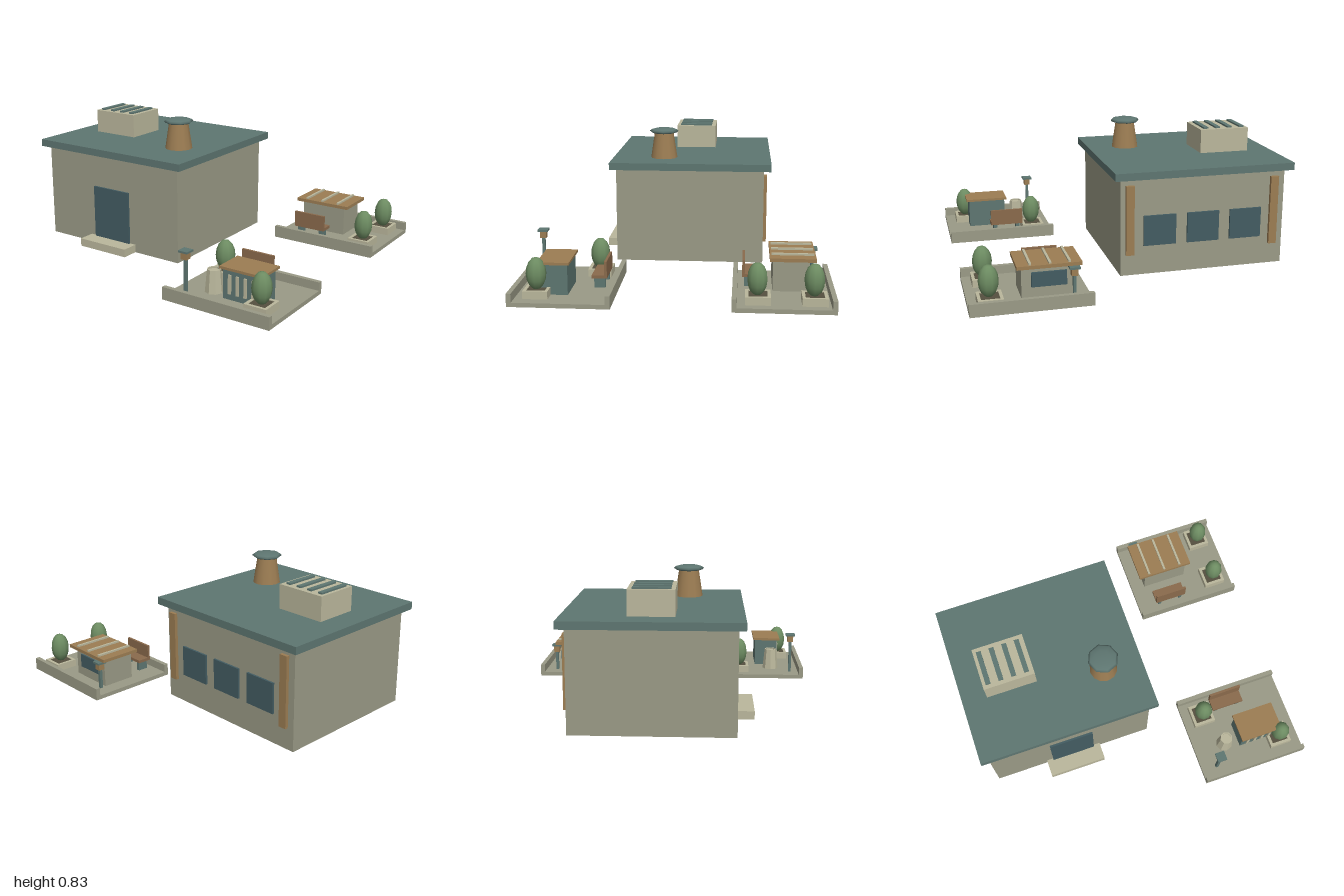
import * as THREE from 'three';

const mat = (color) => new THREE.MeshStandardMaterial({ color });
const M = {
  wall: mat(0x9a9a86), roof: mat(0x5e7671), glass: mat(0x435c62), stone: mat(0xbab79c),
  wood: mat(0x9c7d53), benchWood: mat(0x8a6a4c), soil: mat(0x55503f), leaf: mat(0x6d8c62),
};

function add(parent, name, geometry, material, x, y, z) {
  const mesh = new THREE.Mesh(geometry, material);
  mesh.name = name;
  mesh.position.set(x, y, z);
  parent.add(mesh);
  return mesh;
}

// Box given by its extents on each axis
function box(parent, name, material, [x0, x1], [y0, y1], [z0, z1]) {
  return add(parent, name, new THREE.BoxGeometry(x1 - x0, y1 - y0, z1 - z0), material,
    (x0 + x1) / 2, (y0 + y1) / 2, (z0 + z1) / 2);
}

function group(parent, name, x = 0, z = 0) {
  const g = new THREE.Group();
  g.name = name;
  g.position.set(x, 0, z);
  parent.add(g);
  return g;
}

// Square planter with soil and an egg-shaped shrub
function planter(parent, x, z) {
  const g = group(parent, 'planter', x, z);
  const h = 0.07, t = 0.018;
  for (const s of [-1, 1]) {
    const side = s < 0 ? [-h, -h + t] : [h - t, h];
    box(g, 'planterSide', M.stone, side, [0.02, 0.07], [-h, h]);
    box(g, 'planterEnd', M.stone, [-h + t, h - t], [0.02, 0.07], side);
  }
  box(g, 'soil', M.soil, [-h + t, h - t], [0.02, 0.066], [-h + t, h - t]);
  add(g, 'shrub', new THREE.SphereGeometry(0.057, 10, 8), M.leaf, 0.004, 0.155, 0.004).scale.y = 1.63;
}

// Bench with its backrest on the side given by dir
function bench(parent, x, z, dir) {
  const g = group(parent, 'bench', x, z);
  box(g, 'seat', M.benchWood, [-0.105, 0.105], [0.085, 0.103], [-0.044, 0.044]);
  add(g, 'backrest', new THREE.BoxGeometry(0.21, 0.085, 0.015), M.benchWood, 0, 0.143, dir * 0.037);
  for (const s of [-1, 1])
    add(g, 'benchLeg', new THREE.BoxGeometry(0.022, 0.062, 0.064), M.roof, s * 0.075, 0.055, 0);
}

// Lamp post of a given height
function lamp(parent, x, z, top) {
  const g = group(parent, 'lampPost', x, z);
  box(g, 'post', M.roof, [-0.009, 0.009], [0.02, top - 0.05], [-0.009, 0.009]);
  box(g, 'lampHead', M.wood, [-0.019, 0.019], [top - 0.053, top - 0.012], [-0.019, 0.019]);
  box(g, 'lampCap', M.roof, [-0.03, 0.03], [top - 0.012, top], [-0.03, 0.03]);
}

// Paved slab with a low wall along its front and back
function plaza(parent, name, z0, z1) {
  const g = group(parent, name);
  const xs = [0.315, 0.998], t = 0.027;
  box(g, 'slab', M.wall, xs, [0, 0.025], [z0, z1]);
  box(g, 'backCurb', M.wall, xs, [0, 0.075], [z0, z0 + t]);
  box(g, 'frontCurb', M.wall, xs, [0, 0.075], [z1 - t, z1]);
  return g;
}

function building(root) {
  const g = group(root, 'building');
  box(g, 'walls', M.wall, [-0.957, 0.07], [0, 0.6], [-0.512, 0.418]);
  box(g, 'roof', M.roof, [-1, 0.112], [0.595, 0.64], [-0.557, 0.457]);
  box(g, 'door', M.glass, [-0.583, -0.305], [0.05, 0.384], [0.41, 0.43]);
  box(g, 'doorStep', M.stone, [-0.625, -0.263], [0, 0.05], [0.4, 0.525]);

  // Rear windows and upright trims
  for (const x of [-0.71, -0.44, -0.17])
    box(g, 'rearWindow', M.glass, [x - 0.1, x + 0.1], [0.18, 0.365], [-0.524, -0.505]);
  for (const x of [-0.89, 0.015])
    box(g, 'rearTrim', M.wood, [x - 0.025, x + 0.025], [0.13, 0.555], [-0.532, -0.505]);

  // Rooftop vent box with slats
  box(g, 'ventBox', M.stone, [-0.848, -0.535], [0.635, 0.788], [-0.187, 0.077]);
  for (let i = 0; i < 4; i++) {
    const x = -0.813 + i * 0.0785;
    box(g, 'ventSlat', M.roof, [x - 0.015, x + 0.015], [0.78, 0.798], [-0.16, 0.053]);
  }

  // Tapered chimney with a flattened cap
  add(g, 'chimney', new THREE.CylinderGeometry(0.06, 0.086, 0.17, 12), M.wood, -0.128, 0.72, 0.13);
  add(g, 'chimneyCap', new THREE.SphereGeometry(0.093, 8, 6), M.roof, -0.128, 0.812, 0.13).scale.y = 0.22;
}

function frontPlaza(root) {
  const g = plaza(root, 'frontPlaza', 0.325, 0.895);
  planter(g, 0.442, 0.458);
  planter(g, 0.864, 0.75);
  bench(g, 0.622, 0.426, -1);
  lamp(g, 0.416, 0.812, 0.288);

  // Small kiosk with slatted front
  const k = group(g, 'slattedKiosk');
  box(k, 'kioskBody', M.roof, [0.61, 0.85], [0.02, 0.203], [0.583, 0.735]);
  box(k, 'kioskRoof', M.wood, [0.597, 0.868], [0.202, 0.217], [0.57, 0.753]);
  for (let i = 0; i < 4; i++) {
    const x = 0.655 + i * 0.05;
    box(k, 'kioskSlat', M.stone, [x - 0.009, x + 0.009], [0.06, 0.172], [0.73, 0.743]);
  }

  // Tapered eight-sided bin, open at the top with a sunken lid
  const bin = new THREE.LatheGeometry(
    [[0, 0.02], [0.053, 0.02], [0.04, 0.16], [0.033, 0.16], [0.033, 0.15], [0, 0.15]]
      .map(([r, y]) => new THREE.Vector2(r, y)), 8).toNonIndexed();
  bin.computeVertexNormals();
  add(g, 'bin', bin, M.stone, 0.518, 0, 0.686);
}

function rearPlaza(root) {
  const g = plaza(root, 'rearPlaza', -0.897, -0.332);
  planter(g, 0.876, -0.782);
  planter(g, 0.876, -0.473);
  bench(g, 0.537, -0.43, 1);
  lamp(g, 0.408, -0.797, 0.203);

  // Kiosk with ribbed canopy and a rear window
  const k = group(g, 'canopyKiosk');
  box(k, 'kioskBody', M.wall, [0.405, 0.7], [0.02, 0.206], [-0.765, -0.558]);
  box(k, 'kioskWindow', M.glass, [0.445, 0.645], [0.09, 0.175], [-0.776, -0.76]);
  box(k, 'canopy', M.wood, [0.362, 0.728], [0.205, 0.225], [-0.8, -0.54]);
  for (const x of [0.432, 0.542, 0.653])
    box(k, 'canopyRib', M.stone, [x - 0.007, x + 0.007], [0.22, 0.236], [-0.79, -0.55]);
}

export function createModel() {
  const root = new THREE.Group();
  root.name = 'buildingWithPlazas';
  building(root);
  frontPlaza(root);
  rearPlaza(root);
  return root;
}
